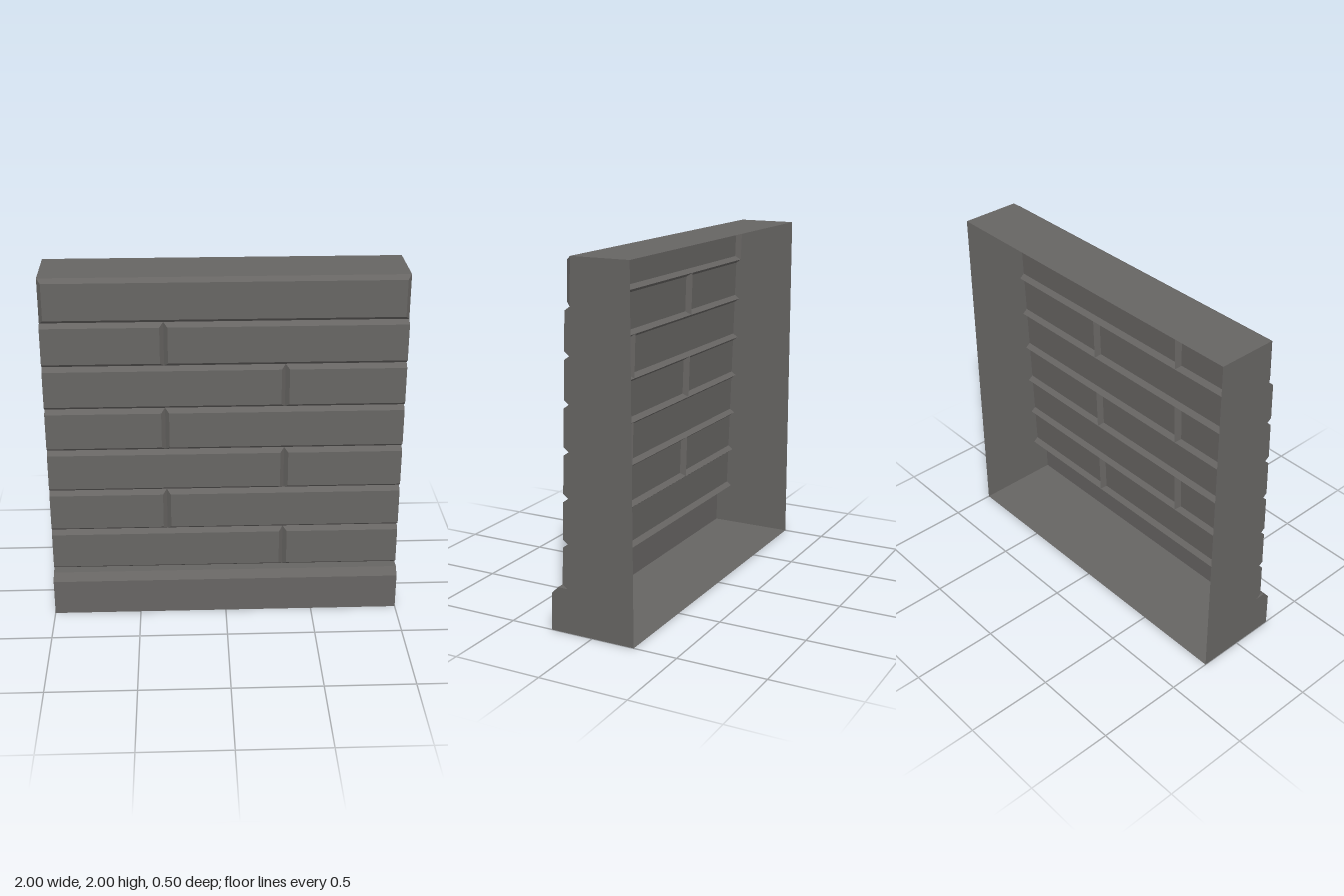
import * as THREE from 'three';

const BACK = -0.25, ROW = 0.25, BEVEL = 0.022, DEPTH = 0.03, JOINT = 1 / 3, ROWS = 7;

// The wall leans back slightly; mortar lines sit DEPTH behind the brick faces
const faceZ = (y) => 0.176 - 0.035 * (y - ROW);
const grooveZ = (y) => faceZ(y) - DEPTH;

// Dark, slightly warm stone
const material = new THREE.MeshStandardMaterial({
  color: 0x666462, flatShading: true, side: THREE.DoubleSide,
});

// Mesh from four-cornered faces, corners counter-clockwise from outside
function quadMesh(name, quads) {
  const positions = [];
  for (const [a, b, c, d] of quads) positions.push(...a, ...b, ...c, ...a, ...c, ...d);
  const geometry = new THREE.BufferGeometry();
  geometry.setAttribute('position', new THREE.Float32BufferAttribute(positions, 3));
  geometry.computeVertexNormals();
  const mesh = new THREE.Mesh(geometry, material);
  mesh.name = name;
  return mesh;
}

// Bevelled brick face; insets say how far each end is bevelled
function brick(x0, x1, y0, y1, insetLeft, insetRight) {
  const corners = (l, r, b, t, z) => [[l, b, z(b)], [r, b, z(b)], [r, t, z(t)], [l, t, z(t)]];
  const outer = corners(x0, x1, y0, y1, grooveZ);
  const inner = corners(x0 + insetLeft, x1 - insetRight, y0 + BEVEL, y1 - BEVEL, faceZ);
  const quads = [inner];
  for (let i = 0; i < 4; i++) {
    const j = (i + 1) % 4;
    const flush = (i === 1 && !insetRight) || (i === 3 && !insetLeft);
    if (!flush) quads.push([outer[i], outer[j], inner[j], inner[i]]);
  }
  return quadMesh('brick', quads);
}

// Plinth profile as [z, y], bottom to top
const plinth = [[0.25, 0], [0.245, 0.21], [0.205, ROW], [grooveZ(ROW), ROW]];

// Side outline following the plinth and the notched courses
function sideWall(sign) {
  const outline = [[BACK, 0], ...plinth];
  for (let row = 1; row <= ROWS; row++) {
    const y0 = row * ROW, y1 = y0 + ROW;
    if (row < ROWS) {
      outline.push([faceZ(y0 + BEVEL), y0 + BEVEL], [faceZ(y1 - BEVEL), y1 - BEVEL]);
    }
    outline.push([grooveZ(y1), y1]);
  }
  outline.push([BACK, 2]);
  const shape = new THREE.Shape(outline.map(([z, y]) => new THREE.Vector2(-sign * z, y)));
  const geometry = new THREE.ShapeGeometry(shape);
  geometry.rotateY(sign * Math.PI / 2);
  geometry.translate(sign, 0, 0);
  const mesh = new THREE.Mesh(geometry, material);
  mesh.name = sign > 0 ? 'leftSide' : 'rightSide';
  return mesh;
}

export function createModel() {
  const group = new THREE.Group();
  group.name = 'brickWall';

  // Plinth along the foot
  const plinthQuads = [];
  for (let i = 0; i < plinth.length - 1; i++) {
    const [z0, y0] = plinth[i], [z1, y1] = plinth[i + 1];
    plinthQuads.push([[-1, y0, z0], [1, y0, z0], [1, y1, z1], [-1, y1, z1]]);
  }
  group.add(quadMesh('plinth', plinthQuads));

  // Brick courses with alternating joints, and one full-width cap course
  const courses = new THREE.Group();
  courses.name = 'brickCourses';
  for (let row = 1; row <= ROWS; row++) {
    const y0 = row * ROW, y1 = y0 + ROW;
    if (row === ROWS) {
      courses.add(brick(-1, 1, y0, y1, BEVEL, BEVEL));
    } else {
      const x = row % 2 ? JOINT : -JOINT;
      courses.add(brick(-1, x, y0, y1, 0, BEVEL), brick(x, 1, y0, y1, BEVEL, 0));
    }
  }
  group.add(courses);

  // Thin sides, top and bottom; the back stays open
  group.add(sideWall(1), sideWall(-1));
  const topZ = grooveZ(2);
  group.add(quadMesh('top', [[[-1, 2, topZ], [1, 2, topZ], [1, 2, BACK], [-1, 2, BACK]]]));
  group.add(quadMesh('bottom', [[[-1, 0, BACK], [1, 0, BACK], [1, 0, 0.25], [-1, 0, 0.25]]]));
  return group;
}
